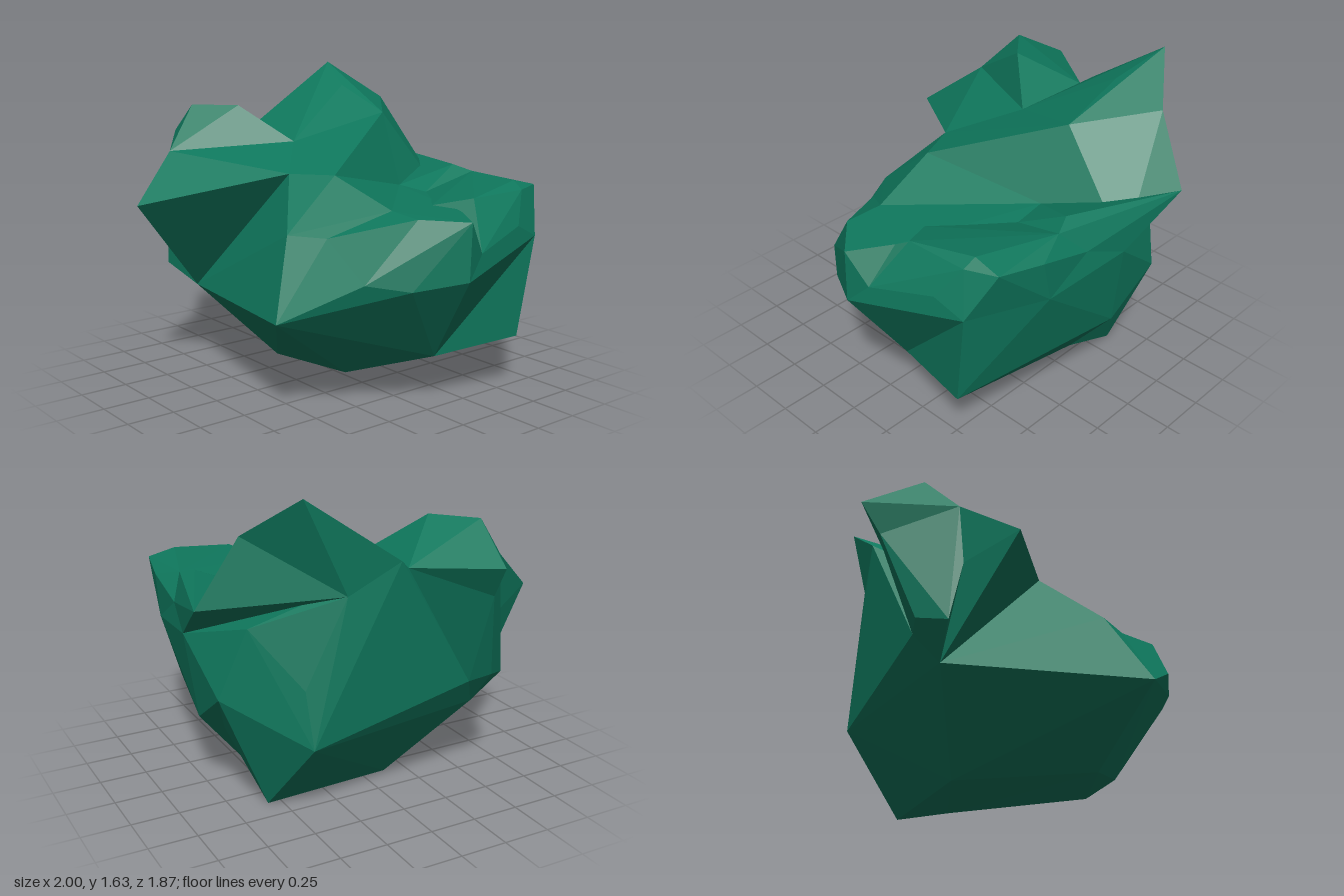
import * as THREE from 'three';
import { ConvexGeometry } from 'three/addons/geometries/ConvexGeometry.js';

const green = new THREE.MeshStandardMaterial({ color: 0x0f785d });
green.name = 'emerald green';

// Corners shared by neighbouring lumps, so that their facets meet cleanly
const saddleTop = [-0.11, 1.38, -0.44];
const saddleDip = [0.06, 0.995, -0.42];
const saddleEdge = [0.255, 1.13, 0.19];
const brow = [0.02, 1.12, 0.3];
const hornRoot = [-0.3, 1.235, 0.035];
const valley = [-0.74, 1.25, 0];
const valleyRim = [-0.78, 1.3, -0.06];
const leftLedge = [-0.72, 1.15, -0.31];
const peakRidge = [-0.47, 1.43, -0.735];
const peakTail = [-0.4, 1.085, -0.935];
const backLedge = [-0.05, 0.86, -0.865];
const backMiddle = [-0.08, 0.65, -0.83];
const backRim = [0.18, 0.95, -0.82];
const backSide = [0.43, 0.8, -0.81];
const backHollow = [-0.37, 0.61, -0.82];
const frontCorner = [-0.61, 0.44, 0.48];
const frontEdge = [0.44, 0.49, 0.69];
const sideCorner = [-0.715, 0.6, 0.39];
const footFront = [-0.37, 0.02, 0.11];
const footMiddle = [-0.1, 0.06, -0.52];
const keel = [0.7, 0.245, -0.09];
const belly = [0.39, 0.145, 0.23];
const cheekFront = [0.74, 0.695, 0.4];
const cheekSide = [0.87, 0.66, 0.22];
const flank = [1, 0.695, -0.02];
const notch = [0.96, 0.81, -0.14];
const notchBack = [0.92, 0.82, -0.29];
const notchTop = [0.87, 0.885, -0.49];
const shelfDip = [0.46, 0.87, 0.4];
const shelfFront = [0.63, 1, 0.14];
const shelfBack = [0.25, 0.98, -0.44];
const rimStart = [0.3, 1.07, -0.74];
const rimCorner = [0.84, 0.81, -0.65];
const hornChin = [-0.645, 0.585, 0.64];
const hornCheek = [-0.58, 0.89, 0.65];
const hornBrow = [-0.6, 1.2, 0.635];
const hornSide = [-0.9, 1.1, 0.38];

const lumps = {
  // Main faceted mass
  rockBody: [
    footFront, footMiddle, frontCorner, frontEdge, saddleDip, shelfDip, backLedge, backHollow,
    belly, keel, cheekFront, cheekSide, flank, notch, notchBack, notchTop, rimCorner, backRim,
  ],
  // Back of the mass, tapering to the underside
  rockBack: [
    footFront, footMiddle, belly, keel, rimCorner, backRim, backSide, backLedge, backMiddle, backHollow,
    [0.81, 0.285, -0.57], [0.33, 0.15, -0.45], [-0.07, 0.41, -0.805],
  ],
  // Shallow shelf on the +x side
  shelf: [
    saddleDip, shelfBack, shelfDip, shelfFront, cheekFront, cheekSide, flank, notch,
    [1, 0.98, -0.03], [0.83, 0.99, 0.155], [0.8, 0.985, -0.16], [0.3, 0.4, 0],
  ],
  // Raised rim around the back of the shelf
  shelfRim: [
    rimStart, shelfBack, backRim, backSide, rimCorner, notch, notchBack, notchTop,
    [0.48, 1.02, -0.81], [0.725, 1.05, -0.76], [0.72, 1.085, -0.61], [0.785, 1.045, -0.6],
    [0.78, 1.03, -0.41], [0.79, 1.04, -0.25], [0.6, 0.99, -0.15],
  ],
  // Front face rising to the brow
  browFace: [
    brow, saddleEdge, saddleDip, shelfDip, shelfFront, frontEdge, frontCorner, footFront,
    [0.28, 0.87, 0.505],
  ],
  // Low bridge from the rim to the tail of the peak
  rimBridge: [[0.195, 1.1, -0.695], rimStart, peakTail, saddleDip, shelfBack, backRim, backLedge],
  // Wall on the -x side below the peak
  sideWall: [
    valley, valleyRim, leftLedge, backLedge, backMiddle, backHollow, sideCorner, footMiddle,
    footFront, frontCorner, hornRoot, saddleDip, [-0.37, 0, -0.57], [-0.46, 0.98, -0.7],
    [-0.66, 0.7, -0.5], [-0.7, 0.63, -0.24], [-0.71, 0.41, -0.48],
  ],
  // Tall peak and the tail falling away behind it
  peak: [
    [-0.73, 1.63, -0.54], [-0.47, 1.51, -0.44], peakRidge,
    saddleTop, saddleDip, leftLedge, valley, valleyRim, hornRoot,
  ],
  peakBack: [peakRidge, peakTail, saddleTop, saddleDip, leftLedge, backLedge],
  // Slope from the peak down to the brow
  saddle: [saddleTop, saddleDip, saddleEdge, brow, hornRoot, [-0.2, 0.6, 0]],
  // Horn at the front corner: overhanging cap and narrower neck
  hornCap: [
    [-1, 1.26, 0.365], [-0.7, 1.43, 0.43], [-0.5, 1.43, 0.26],
    hornSide, hornBrow, hornRoot, valley,
  ],
  hornNeck: [
    hornSide, hornBrow, hornCheek, hornChin, hornRoot, valley, sideCorner, frontCorner,
    [-0.75, 0.63, 0.5],
  ],
  // Pointed blade jutting forward between horn and brow
  blade: [[-0.43, 0.96, 0.93], hornBrow, hornCheek, hornRoot, brow, frontCorner],
};

export function createModel() {
  const group = new THREE.Group();
  group.name = 'facetedRock';
  for (const [name, corners] of Object.entries(lumps)) {
    const geometry = new ConvexGeometry(corners.map((c) => new THREE.Vector3(...c)));
    const mesh = new THREE.Mesh(geometry, green);
    mesh.name = name;
    group.add(mesh);
  }
  return group;
}
